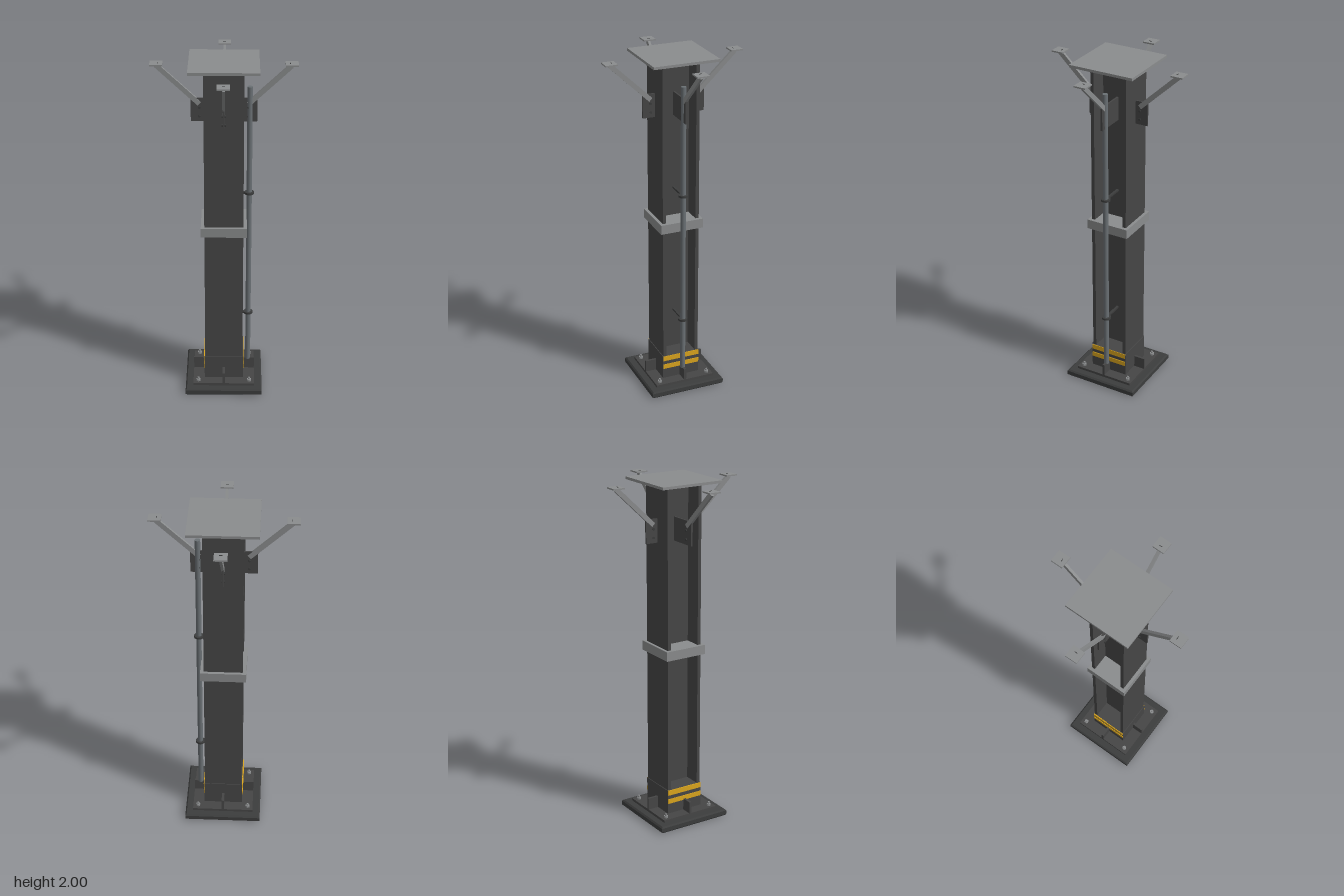
import * as THREE from 'three';

const mat = (name, color) => {
  const m = new THREE.MeshStandardMaterial({ color });
  m.name = name;
  return m;
};

export function createModel() {
  const dark = mat('dark steel', 0x464646);
  const base = mat('base steel', 0x3c3d3d);
  const light = mat('galvanised steel', 0x8a8c8d);
  const pipeGrey = mat('pipe grey', 0x6a7074);
  const yellow = mat('safety yellow', 0xdca61e);
  const model = new THREE.Group();
  model.name = 'steelColumn';

  const add = (parent, name, geometry, material, x, y, z) => {
    const mesh = new THREE.Mesh(geometry, material);
    mesh.name = name;
    mesh.position.set(x, y, z);
    parent.add(mesh);
    return mesh;
  };
  // Box given by its bottom and top heights
  const box = (parent, name, material, w, y0, y1, d, x = 0, z = 0) =>
    add(parent, name, new THREE.BoxGeometry(w, y1 - y0, d), material, x, (y0 + y1) / 2, z);

  // Plinth with bevelled edges
  const half = 0.217;
  const square = new THREE.Shape([
    new THREE.Vector2(-half, -half), new THREE.Vector2(half, -half),
    new THREE.Vector2(half, half), new THREE.Vector2(-half, half),
  ]);
  const plinth = new THREE.ExtrudeGeometry(square, {
    depth: 0.024, bevelSize: 0.008, bevelThickness: 0.008, bevelSegments: 1,
  });
  plinth.rotateX(-Math.PI / 2);
  add(model, 'plinth', plinth, base, 0, 0.008, 0);
  box(model, 'basePlate', dark, 0.36, 0.04, 0.055, 0.36);

  // Anchor bolts
  for (const x of [-0.15, 0.15]) {
    for (const z of [-0.15, 0.15]) {
      add(model, 'anchorNut', new THREE.CylinderGeometry(0.013, 0.013, 0.012, 6), light, x, 0.061, z);
      add(model, 'anchorStud', new THREE.CylinderGeometry(0.006, 0.006, 0.024, 10), light, x, 0.067, z);
    }
  }

  // H-section column
  for (const s of [-1, 1]) box(model, 'flange', dark, 0.22, 0.055, 1.985, 0.02, 0, s * 0.1);
  box(model, 'web', dark, 0.018, 0.055, 1.985, 0.18);

  // Foot sleeve with warning stripes on both open sides
  box(model, 'footSleeve', dark, 0.228, 0.055, 0.2, 0.228);
  for (const s of [-1, 1]) {
    for (const [y0, y1] of [[0.118, 0.146], [0.17, 0.2]]) {
      box(model, 'warningStripe', yellow, 0.006, y0, y1, 0.224, s * 0.115);
    }
  }

  // Middle band and cap plate
  box(model, 'middleBand', light, 0.26, 1.0, 1.055, 0.256);
  box(model, 'capPlate', light, 0.384, 1.985, 2.0, 0.384);

  // One arm per side: foot gusset, bracket, strut and pad
  for (let i = 0; i < 4; i++) {
    const arm = new THREE.Group();
    arm.name = 'supportArm';
    arm.rotation.y = i * Math.PI / 2;
    model.add(arm);
    box(arm, 'footGusset', dark, 0.068, 0.055, 0.125, 0.014, 0.146);

    // Side brackets reach in to the web
    const inner = i % 2 === 0 ? 0.008 : 0.1;
    box(arm, 'bracket', dark, 0.182 - inner, 1.655, 1.79, 0.01, (0.182 + inner) / 2);
    for (const y of [1.685, 1.735]) {
      const bolt = add(arm, 'bracketBolt', new THREE.CylinderGeometry(0.007, 0.007, 0.022, 6), base, 0.135, y, 0);
      bolt.rotation.x = Math.PI / 2;
    }

    const from = new THREE.Vector2(0.135, 1.757);
    const to = new THREE.Vector2(0.366, 1.976);
    const run = to.clone().sub(from);
    const strut = add(arm, 'strut', new THREE.BoxGeometry(run.length(), 0.027, 0.015), light,
      (from.x + to.x) / 2, (from.y + to.y) / 2, 0);
    strut.rotation.z = run.angle();
    box(arm, 'pad', light, 0.07, 1.98, 1.988, 0.07, 0.366);
    box(arm, 'padSlot', base, 0.003, 1.986, 1.99, 0.016, 0.356);
  }

  // Service pipe with clips on the left side
  add(model, 'pipe', new THREE.CylinderGeometry(0.015, 0.015, 1.735, 20), pipeGrey, 0.142, 0.9875, 0);
  for (const y of [0.443, 1.222]) {
    add(model, 'pipeClip', new THREE.CylinderGeometry(0.027, 0.027, 0.012, 20), base, 0.142, y, 0);
    box(model, 'clipArm', base, 0.13, y - 0.005, y + 0.005, 0.014, 0.07);
  }
  return model;
}
